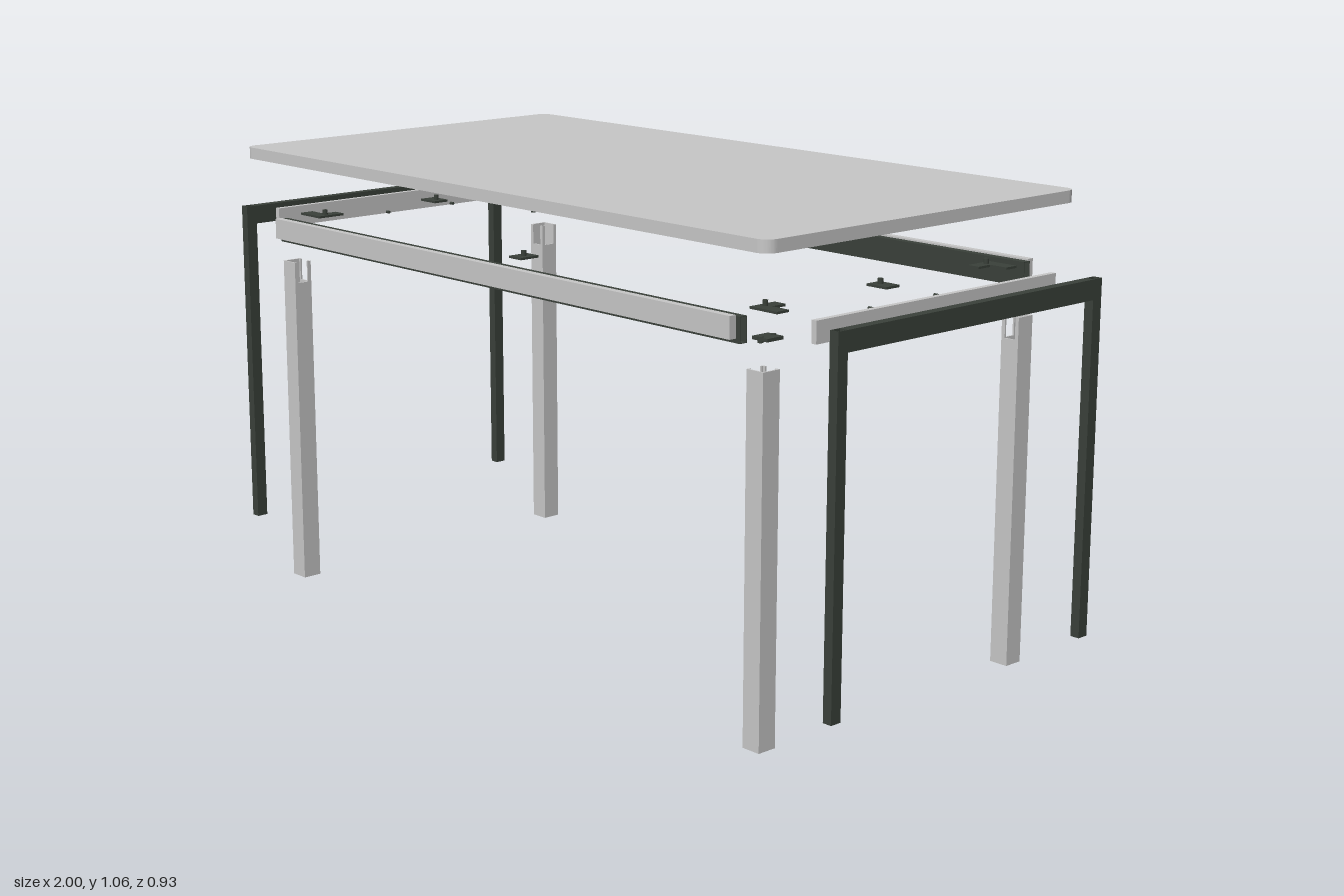
import * as THREE from 'three';

export function createModel() {
  const model = new THREE.Group();
  model.name = 'explodedTable';
  const grey = new THREE.MeshStandardMaterial({ color: 0xc8c8c8 });
  grey.name = 'light grey';
  const dark = new THREE.MeshStandardMaterial({ color: 0x3a413a });
  dark.name = 'dark metal';

  const add = (name, geometry, material, parent = model) => {
    const mesh = new THREE.Mesh(geometry, material);
    mesh.name = name;
    parent.add(mesh);
    return mesh;
  };
  // Box given by its limits on each axis
  const box = (name, material, [x0, x1], [y0, y1], [z0, z1], parent = model) => {
    const mesh = add(name, new THREE.BoxGeometry(x1 - x0, y1 - y0, z1 - z0), material, parent);
    mesh.position.set((x0 + x1) / 2, (y0 + y1) / 2, (z0 + z1) / 2);
    return mesh;
  };
  const pin = (name, x, y, z, parent, axis = 'y') => {
    const mesh = add(name, new THREE.CylinderGeometry(0.006, 0.006, 0.013, 12), dark, parent);
    mesh.position.set(x, y, z);
    if (axis === 'x') mesh.rotation.z = Math.PI / 2;
    if (axis === 'z') mesh.rotation.x = Math.PI / 2;
    return mesh;
  };
  const mirrored = (a, b, s) => (s > 0 ? [a, b] : [-b, -a]);

  // Table top with rounded corners
  const w = 0.873, d = 0.467, r = 0.028;
  const outline = new THREE.Shape();
  outline.absarc(w - r, d - r, r, 0, Math.PI / 2);
  outline.absarc(-w + r, d - r, r, Math.PI / 2, Math.PI);
  outline.absarc(-w + r, -d + r, r, Math.PI, Math.PI * 1.5);
  outline.absarc(w - r, -d + r, r, Math.PI * 1.5, Math.PI * 2);
  const topGeometry = new THREE.ExtrudeGeometry(outline, { depth: 0.027, bevelEnabled: false, curveSegments: 8 });
  topGeometry.rotateX(-Math.PI / 2);
  add('tableTop', topGeometry, grey).position.y = 1.033;

  // Inserts below the top
  for (const x of [-0.74, 0, 0.74])
    for (const z of [-0.335, 0, 0.335])
      if (x || z) pin('topInsert', x, 1.018, z, model);

  // Leg sleeve wall with a slot cut down from its upper edge
  const legW = 0.046, legH = 0.786, wall = 0.004, slot = 0.014, slotDepth = 0.05;
  const slotted = new THREE.Shape([
    [-legW / 2, 0], [legW / 2, 0], [legW / 2, legH], [slot, legH], [slot, legH - slotDepth],
    [-slot, legH - slotDepth], [-slot, legH], [-legW / 2, legH],
  ].map(([x, y]) => new THREE.Vector2(x, y)));
  const slottedWall = new THREE.ExtrudeGeometry(slotted, { depth: wall, bevelEnabled: false });

  for (const sx of [-1, 1]) {
    for (const sz of [-1, 1]) {
      // Hollow leg: two full outer walls, two slotted inner walls
      const leg = new THREE.Group();
      leg.name = 'legSleeve';
      leg.position.set(sx * 0.788, 0, sz * 0.387);
      model.add(leg);
      const h = legW / 2;
      box('outerSideWall', grey, mirrored(h - wall, h, sx), [0, legH], [-h, h], leg);
      box('outerEndWall', grey, [-h, h], [0, legH], mirrored(h - wall, h, sz), leg);
      const inner = add('innerEndWall', slottedWall, grey, leg);
      inner.position.z = sz > 0 ? -h : h - wall;
      const side = add('innerSideWall', slottedWall, grey, leg);
      side.rotation.y = Math.PI / 2;
      side.position.x = sx > 0 ? -h : h - wall;

      // Corner plate with its pin, and the clip that caps the leg
      const corner = new THREE.Group();
      corner.name = 'cornerFittings';
      model.add(corner);
      box('cornerPlateLong', dark, mirrored(0.725, 0.755, sx), [0.893, 0.898], mirrored(0.293, 0.363, sz), corner);
      box('cornerPlateShort', dark, mirrored(0.755, 0.8, sx), [0.893, 0.898], mirrored(0.33, 0.363, sz), corner);
      pin('cornerPin', sx * 0.74, 0.903, sz * 0.335, corner);
      box('legClip', dark, mirrored(0.732, 0.775, sx), [0.833, 0.84], mirrored(0.318, 0.363, sz), corner);
      for (const z of [0.323, 0.359]) pin('clipPin', sx * 0.752, 0.835, sz * z, corner);
    }

    // Dark end frame: hollow open uprights joined by a beam
    const frame = new THREE.Group();
    frame.name = 'endFrame';
    model.add(frame);
    const t = 0.0015;
    box('frameBeam', dark, mirrored(0.976, 0.998, sx), [0.851, 0.895], [-0.373, 0.373], frame);
    for (const sz of [-1, 1]) {
      for (const x of [0.976, 0.998 - t])
        box('uprightSide', dark, mirrored(x, x + t, sx), [0.11, 0.895], mirrored(0.373, 0.4, sz), frame);
      for (const z of [0.373, 0.4 - t])
        box('uprightEdge', dark, mirrored(0.976, 0.998, sx), [0.11, 0.895], mirrored(z, z + t, sz), frame);
    }

    // Light end apron, its screws and the mid plate
    box('endApron', grey, mirrored(0.893, 0.906, sx), [0.85, 0.897], [-0.363, 0.363]);
    for (const z of [-0.1, 0.1])
      pin('apronScrew', sx * 0.805, 0.87, z, model, 'x').scale.set(0.6, 0.8, 0.6);
    box('endMidPlate', dark, mirrored(0.72, 0.775, sx), [0.893, 0.898], [-0.02, 0.02]);
    pin('endMidPin', sx * 0.74, 0.903, 0, model);
  }

  for (const sz of [-1, 1]) {
    // Hollow dark rail, open at both ends
    const rail = new THREE.Group();
    rail.name = 'longRail';
    model.add(rail);
    const t = 0.0015;
    for (const z of [0.42, 0.439 - t])
      box('railSide', dark, [-0.775, 0.775], [0.841, 0.895], mirrored(z, z + t, sz), rail);
    for (const y of [0.841, 0.895 - t])
      box('railEdge', dark, [-0.775, 0.775], [y, y + t], mirrored(0.42, 0.439, sz), rail);

    // Light facing board, screws and centre plate
    box('longApron', grey, [-0.767, 0.767], [0.851, 0.898], mirrored(0.442, 0.459, sz));
    for (const x of [-0.1, 0.1])
      pin('railScrew', x, 0.87, sz * 0.385, model, 'z').scale.set(0.6, 0.8, 0.6);
    box('centrePlate', dark, [-0.02, 0.02], [0.893, 0.898], mirrored(0.31, 0.36, sz));
    pin('centrePin', 0, 0.903, sz * 0.335, model);
  }
  return model;
}
